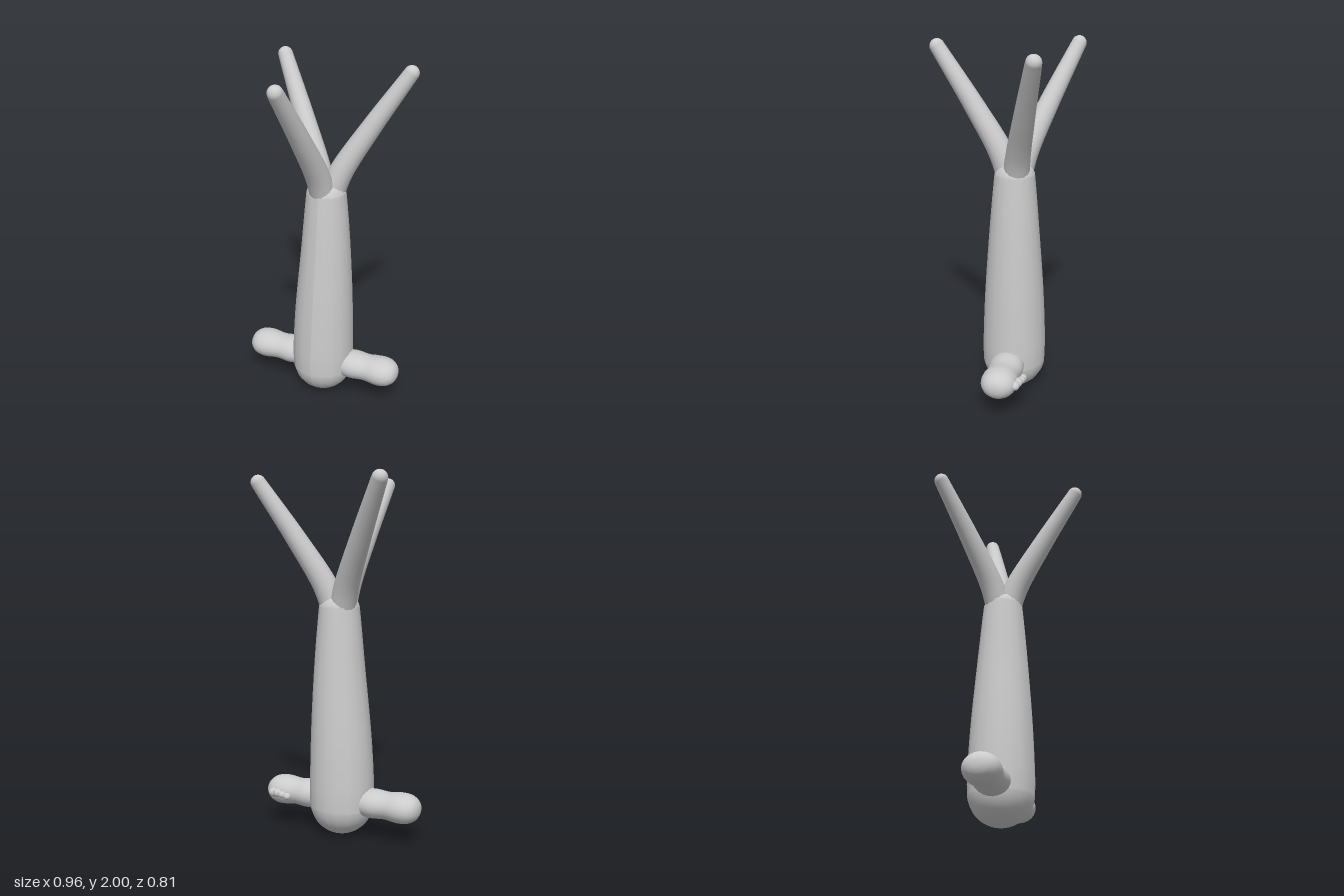
import * as THREE from 'three';

const bark = new THREE.MeshStandardMaterial({ color: 0xcccccc });
bark.name = 'pale grey';

const AXIS_Z = -0.09;

function addMesh(parent, name, geometry) {
  const mesh = new THREE.Mesh(geometry, bark);
  mesh.name = name;
  parent.add(mesh);
  return mesh;
}

// Smooth lathe profile from a few [radius, height] points
function latheFrom(points, sides, samples) {
  const curve = new THREE.SplineCurve(points.map(([r, y]) => new THREE.Vector2(r, y)));
  const profile = curve.getPoints(samples);
  profile.forEach(p => { p.x = Math.max(0, p.x); });
  return new THREE.LatheGeometry(profile, sides);
}

// Tube whose radius shrinks from r0 to r1, with a round tip
function taperedLimb(name, points, r0, r1) {
  const group = new THREE.Group();
  group.name = name;
  const curve = new THREE.CatmullRomCurve3(points);
  const rings = 20, sides = 16;
  const geo = new THREE.TubeGeometry(curve, rings, 1, sides);
  const pos = geo.attributes.position, nor = geo.attributes.normal;
  for (let i = 0; i <= rings; i++) {
    const centre = curve.getPointAt(i / rings);
    const r = THREE.MathUtils.lerp(r0, r1, i / rings);
    for (let j = 0; j <= sides; j++) {
      const k = i * (sides + 1) + j;
      pos.setXYZ(k, centre.x + nor.getX(k) * r, centre.y + nor.getY(k) * r, centre.z + nor.getZ(k) * r);
    }
  }
  addMesh(group, name + 'Stem', geo);
  addMesh(group, name + 'Tip', new THREE.SphereGeometry(r1, 16, 12)).position.copy(points[points.length - 1]);
  return group;
}

export function createModel() {
  const model = new THREE.Group();
  model.name = 'forkedTrunk';

  // Trunk: round foot, tapering body, rounded shoulder, leaning slightly to +x
  const foot = [];
  for (let i = 0; i <= 8; i++) {
    const a = (i / 8) * Math.PI / 2;
    foot.push([0.18 * Math.sin(a), 0.18 - 0.18 * Math.cos(a)]);
  }
  const body = [[0.181, 0.3], [0.168, 0.6], [0.138, 1.0], [0.116, 1.25],
    [0.108, 1.3], [0.085, 1.335], [0.045, 1.355], [0, 1.36]];
  const trunk = latheFrom([...foot, ...body], 18, 64);
  const tp = trunk.attributes.position;
  for (let i = 0; i < tp.count; i++) {
    const lean = 0.015 * THREE.MathUtils.smoothstep(tp.getY(i), 0.25, 1.1);
    tp.setX(i, tp.getX(i) + lean);
  }
  trunk.computeVertexNormals();
  addMesh(model, 'trunk', trunk).position.z = AXIS_Z;

  // Three branches curving up and outwards
  const origin = new THREE.Vector3(0.012, 0, AXIS_Z);
  const tips = {
    frontBranch: [-0.055, 0.362],
    leftBranch: [0.418, -0.27],
    rightBranch: [-0.368, -0.367],
  };
  const steps = [[0.04, 1.24], [0.18, 1.4], [0.53, 1.65], [1, 1.957]];
  for (const [name, [x, z]] of Object.entries(tips)) {
    const path = steps.map(([f, y]) => new THREE.Vector3(
      THREE.MathUtils.lerp(origin.x, x, f), y, THREE.MathUtils.lerp(origin.z, z, f)));
    model.add(taperedLimb(name, path, 0.076, 0.042));
  }

  // Knobbly side stubs, slightly flattened in height
  const stub = [[0.08, 0], [0.085, 0.11], [0.097, 0.2], [0.09, 0.285], [0.1, 0.365],
    [0.093, 0.42], [0.068, 0.457], [0.035, 0.475], [0, 0.48]];
  for (const side of [1, -1]) {
    const geo = latheFrom(stub, 24, 48);
    geo.rotateZ(-side * Math.PI / 2);
    geo.scale(1, 0.84, 1);
    addMesh(model, side > 0 ? 'leftStub' : 'rightStub', geo).position.set(0, 0.198, AXIS_Z);
  }

  // Small lumpy shoot on the back of the left stub
  const shoot = new THREE.Group();
  shoot.name = 'shoot';
  const lumps = [[0.4, 0.2, -0.185, 0.026], [0.365, 0.203, -0.195, 0.025],
    [0.33, 0.2, -0.205, 0.021], [0.295, 0.195, -0.208, 0.02]];
  for (const [x, y, z, r] of lumps) {
    const lump = addMesh(shoot, 'shootLump', new THREE.SphereGeometry(r, 14, 10));
    lump.position.set(x, y, z);
    lump.scale.x = 1.2;
  }
  model.add(shoot);

  return model;
}
